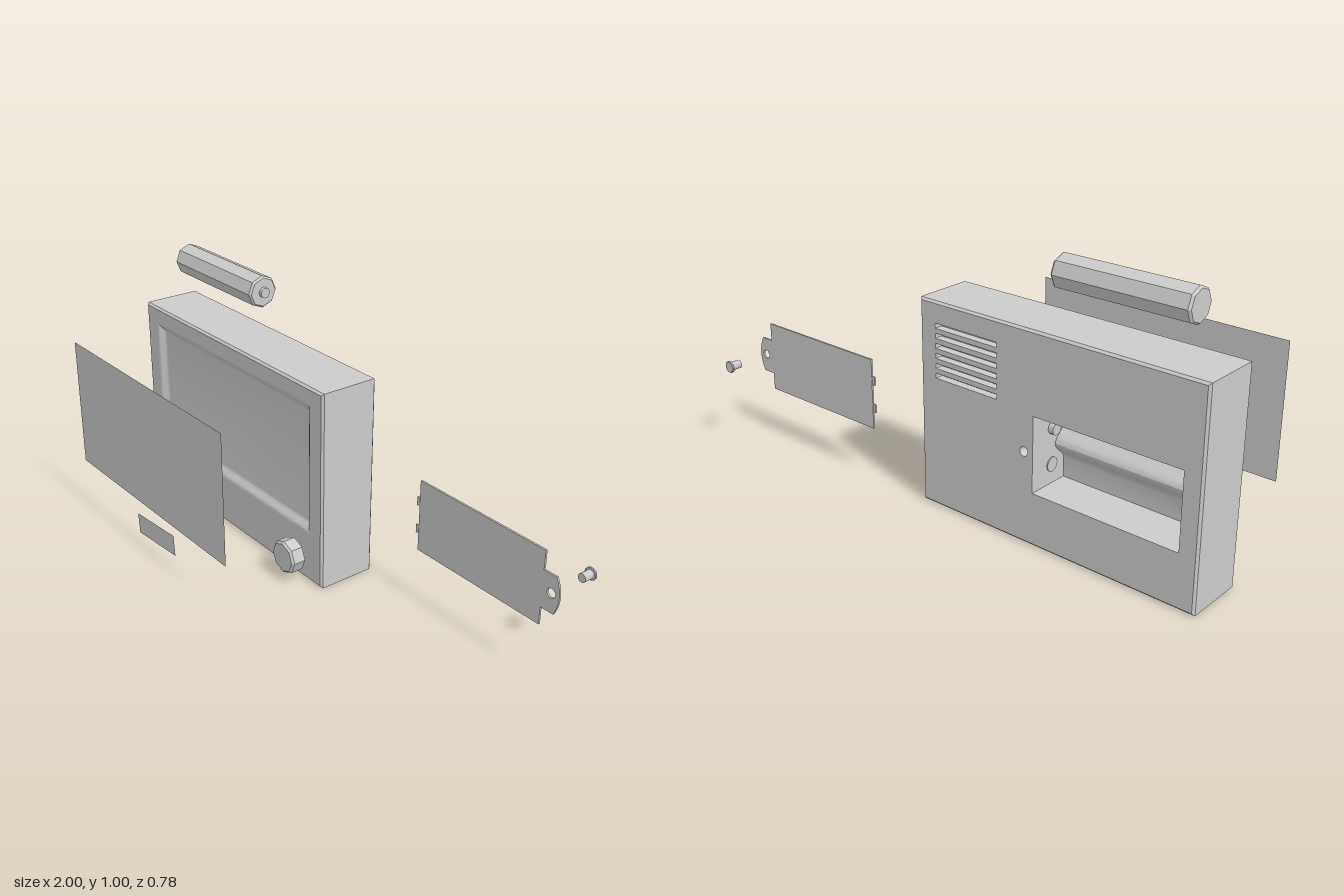
import * as THREE from 'three';
import { toCreasedNormals, mergeGeometries } from 'three/addons/utils/BufferGeometryUtils.js';

const FRONT = 0.028, BACK = -0.203;
const mat = new THREE.MeshStandardMaterial({ color: 0xcccccc });
const thinMat = new THREE.MeshStandardMaterial({ color: 0xcccccc, side: THREE.DoubleSide });

function add(group, name, geometry, material = mat) {
  const mesh = new THREE.Mesh(toCreasedNormals(geometry, 0.5), material);
  mesh.name = name;
  group.add(mesh);
  return mesh;
}

// Counter-clockwise rings as seen from the front
const rect = (x0, x1, y0, y1, z) =>
  [[x0, y0], [x1, y0], [x1, y1], [x0, y1]].map(([x, y]) => new THREE.Vector3(x, y, z));
const circle = (x, y, r, z, n = 16) => Array.from({ length: n }, (_, i) => {
  const a = (i / n) * Math.PI * 2;
  return new THREE.Vector3(x + r * Math.cos(a), y + r * Math.sin(a), z);
});

// Skin of quads through a row of equal rings
function loft(rings, closed = true) {
  const pos = [];
  for (let k = 0; k + 1 < rings.length; k++) {
    const a = rings[k], b = rings[k + 1], n = a.length;
    for (let i = 0; i < (closed ? n : n - 1); i++) {
      const j = (i + 1) % n;
      for (const p of [a[i], a[j], b[j], a[i], b[j], b[i]]) pos.push(p.x, p.y, p.z);
    }
  }
  const g = new THREE.BufferGeometry();
  g.setAttribute('position', new THREE.Float32BufferAttribute(pos, 3));
  g.computeVertexNormals();
  return g;
}

// Flat face, optionally pierced and turned to the other side
function face(points, holes = [], flip = false) {
  const shape = new THREE.Shape(points.map(p => new THREE.Vector2(p.x, p.y)));
  holes.forEach(h => shape.holes.push(new THREE.Path(h.map(p => new THREE.Vector2(p.x, p.y)))));
  const g = new THREE.ShapeGeometry(shape).toNonIndexed();
  g.deleteAttribute('uv');
  if (flip) {
    const p = g.attributes.position;
    for (let i = 0; i < p.count; i += 3) {
      const x = p.getX(i), y = p.getY(i);
      p.setXY(i, p.getX(i + 1), p.getY(i + 1));
      p.setXY(i + 1, x, y);
    }
    g.computeVertexNormals();
  }
  return g.translate(0, 0, points[0].z);
}

const lathe = (points, sides) =>
  new THREE.LatheGeometry(points.map(([r, y]) => new THREE.Vector2(r, y)), sides);

function makeBody() {
  const body = new THREE.Group();
  body.name = 'body';
  const c = 0.008;
  const outer = (inset, z) => rect(-1 + inset, 0.125 - inset, inset, 0.76 - inset, z);

  // Chamfered outer wall
  add(body, 'outerWall', loft([outer(c, BACK), outer(0, BACK + c), outer(0, FRONT - c), outer(c, FRONT)]));

  // Front face with a softly sloped screen recess
  const screenRing = (inset, z) => rect(-0.93 + inset, 0.06 - inset, 0.195 + inset, 0.7 - inset, z);
  add(body, 'frontFace', face(outer(c, FRONT), [screenRing(0, FRONT)]));
  const slope = [];
  for (let i = 0; i <= 6; i++) {
    slope.push(screenRing(0.04 * i / 6, FRONT - 0.01 * (1 - Math.cos(Math.PI * i / 6))));
  }
  add(body, 'screenRecess', mergeGeometries([loft(slope), face(slope[6])]));

  // Blind openings in the back: speaker slots and screw hole
  const openings = [];
  for (let i = 0; i < 6; i++) {
    const y = 0.494 + i * 0.036;
    openings.push(['speakerSlot', z => rect(-0.215, 0.055, y - 0.009, y + 0.009, z), 0.03]);
  }
  openings.push(['screwHole', z => circle(-0.333, 0.335, 0.017, z), 0.05]);
  for (const [name, ring, depth] of openings) {
    const end = ring(BACK + depth);
    add(body, name, mergeGeometries([loft([end, ring(BACK)]), face(end, [], true)]));
  }

  // Battery bay: flat sides, and a rounded ridge along the middle
  const x0 = -0.933, x1 = -0.37, y0 = 0.195, y1 = 0.47, deep = BACK + 0.165;
  const profile = [[y0, BACK], [y0, deep]];
  for (let i = 0; i <= 12; i++) {
    const t = i / 12;
    profile.push([0.265 + 0.135 * t, deep - 0.024 * (1 - Math.cos(2 * Math.PI * t))]);
  }
  profile.push([y1, deep], [y1, BACK]);
  const section = x => profile.map(([y, z]) => new THREE.Vector3(x, y, z));
  add(body, 'batteryBay', loft([section(x0), section(x1)], false));
  const endShape = profile.map(([y, z]) => new THREE.Vector3(-z, y, 0));
  add(body, 'bayEndRight', face(endShape).rotateY(Math.PI / 2).translate(x0, 0, 0));
  add(body, 'bayEndLeft', face(endShape, [], true).rotateY(Math.PI / 2).translate(x1, 0, 0));

  // Contacts alternate between a flat disc and a raised stud
  for (const [x, y, len, r] of [[x0, 0.265, 0.02, 0.022], [x0, 0.398, 0.004, 0.026],
    [x1, 0.265, 0.004, 0.026], [x1, 0.398, 0.02, 0.022]]) {
    const inward = x === x0 ? 1 : -1;
    add(body, 'batteryContact', new THREE.CylinderGeometry(r, r, len, 16).rotateZ(Math.PI / 2))
      .position.set(x + inward * len / 2, y, BACK + 0.1);
  }

  const holes = openings.map(([, ring]) => ring(BACK));
  holes.push(rect(x0, x1, y0, y1, BACK));
  add(body, 'backFace', face(outer(c, BACK), holes, true));
  return body;
}

function makeCover() {
  const cover = new THREE.Group();
  cover.name = 'batteryCover';
  const s = new THREE.Shape();
  s.moveTo(0.37, 0.2);
  s.lineTo(0.93, 0.2);
  s.lineTo(0.93, 0.265);
  s.lineTo(0.982, 0.265);
  s.quadraticCurveTo(1.018, 0.333, 0.982, 0.401);
  s.lineTo(0.93, 0.401);
  s.lineTo(0.93, 0.47);
  s.lineTo(0.37, 0.47);
  s.closePath();
  s.holes.push(new THREE.Path().absarc(0.967, 0.335, 0.017, 0, Math.PI * 2, true));
  add(cover, 'coverPlate', new THREE.ExtrudeGeometry(s, { depth: 0.007, bevelEnabled: false, curveSegments: 8 })
    .translate(0, 0, -0.208));
  for (const y of [0.281, 0.388]) {
    add(cover, 'coverHook', new THREE.BoxGeometry(0.014, 0.032, 0.006)).position.set(0.365, y, -0.203);
  }
  return cover;
}

export function createModel() {
  const model = new THREE.Group();
  model.name = 'explodedHandheldDevice';
  model.add(makeBody(), makeCover());

  // Floating screen sheet and tilted label
  add(model, 'screenPanel', new THREE.PlaneGeometry(0.99, 0.5), thinMat).position.set(-0.435, 0.45, 0.388);
  const label = add(model, 'labelPlate', new THREE.PlaneGeometry(0.252, 0.08), thinMat);
  label.position.set(-0.4, 0.11, 0.388);
  label.rotation.z = 0.08;

  // Octagonal knobs with a chamfered front
  for (const [x, r] of [[-0.837, 0.047], [-0.7, 0.047], [-0.005, 0.064]]) {
    const knob = lathe([[0, 0], [r, 0], [r, 0.046], [r - 0.008, 0.054], [0, 0.054]], 8);
    add(model, 'knob', knob.rotateX(Math.PI / 2)).position.set(x, 0.097, 0.05);
  }

  // Octagonal battery with its terminal on the left end
  const battery = new THREE.Group();
  battery.name = 'battery';
  add(battery, 'batteryCell', lathe([[0, 0], [0.053, 0], [0.06, 0.008], [0.06, 0.492], [0.053, 0.5], [0, 0.5]], 8)
    .rotateZ(-Math.PI / 2));
  add(battery, 'batteryTerminal', new THREE.CylinderGeometry(0.019, 0.019, 0.014, 16).rotateZ(-Math.PI / 2))
    .position.x = 0.506;
  battery.position.set(-0.897, 0.94, -0.11);
  model.add(battery);

  // Cover screw, head to the back
  add(model, 'screw', lathe([[0, 0], [0.016, 0], [0.016, 0.04], [0.023, 0.04], [0.023, 0.046], [0.021, 0.048], [0, 0.048]], 16)
    .rotateX(-Math.PI / 2)).position.set(0.967, 0.335, -0.34);
  return model;
}
